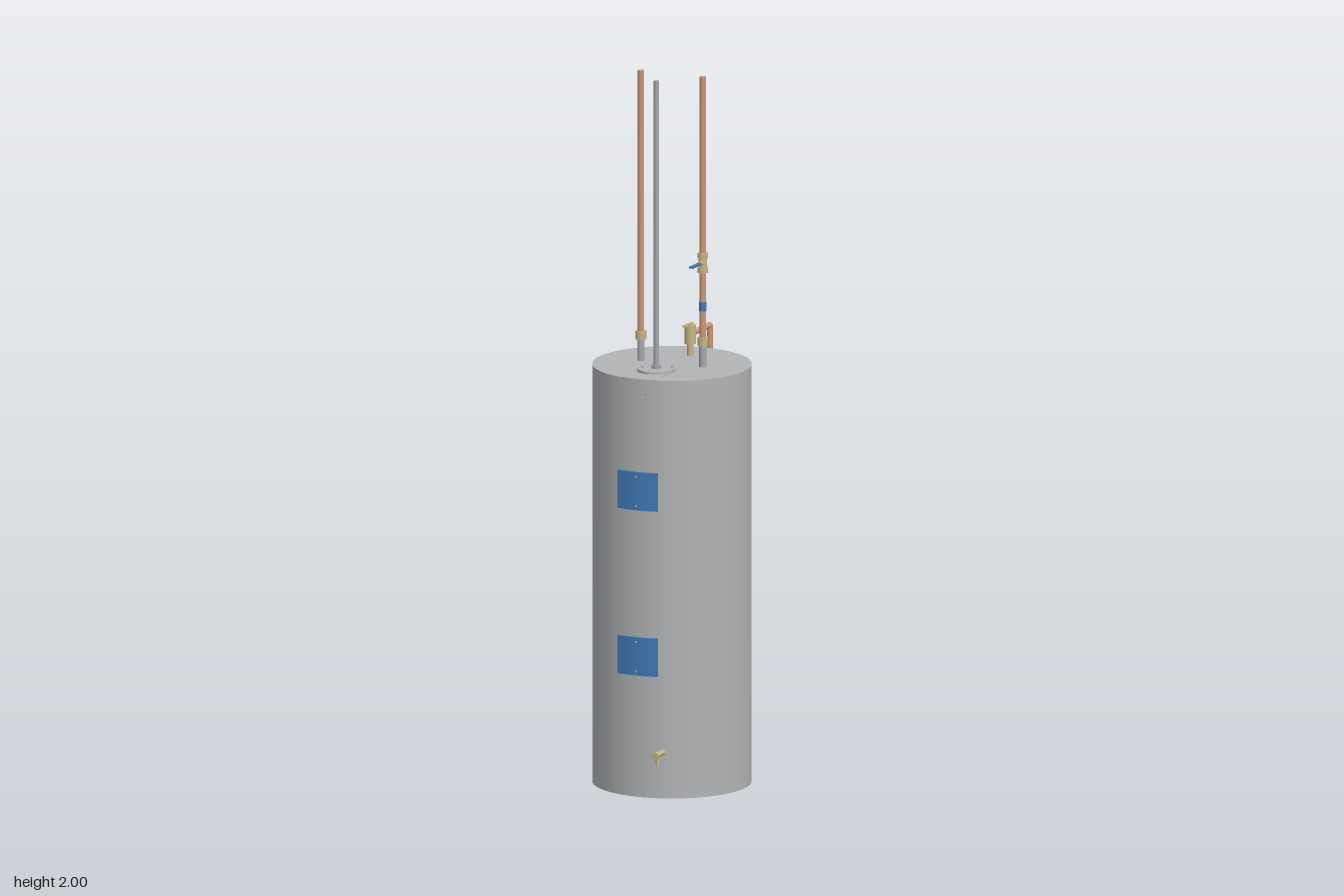
import * as THREE from 'three';

const mat = (name, color, side = THREE.FrontSide) => {
  const m = new THREE.MeshStandardMaterial({ color, side });
  m.name = name;
  return m;
};

export function createModel() {
  const model = new THREE.Group();
  model.name = 'waterHeater';
  const grey = mat('tankGrey', 0xb2b4b6);
  const steel = mat('steel', 0xa6a8ab);
  const copper = mat('copper', 0xcb9878);
  const brass = mat('brass', 0xc6b684);
  const blue = mat('blue', 0x417ab8);

  const TOP = 1.18, R = 0.22, CZ = -0.005;

  const add = (name, geometry, material, x = 0, y = 0, z = 0, parent = model) => {
    const mesh = new THREE.Mesh(geometry, material);
    mesh.name = name;
    mesh.position.set(x, y, z);
    parent.add(mesh);
    return mesh;
  };
  // Upright cylinder between two heights
  const post = (name, r, y0, y1, x, z, material, sides = 20) =>
    add(name, new THREE.CylinderGeometry(r, r, y1 - y0, sides), material, x, (y0 + y1) / 2, z);
  // Cylinder lying along z between two depths
  const rod = (name, r, z0, z1, x, y, material, sides = 16) => {
    const m = add(name, new THREE.CylinderGeometry(r, r, z1 - z0, sides), material, x, y, (z0 + z1) / 2);
    m.rotation.x = Math.PI / 2;
    return m;
  };
  // Curved plate hugging the tank front, between two radii and heights
  const curvedPlate = (name, r0, r1, halfWidth, y0, y1, material) => {
    const a = Math.asin(halfWidth / r1), q = Math.PI / 2;
    const s = new THREE.Shape();
    s.absarc(0, 0, r1, -q - a, -q + a, false);
    s.absarc(0, 0, r0, -q + a, -q - a, true);
    const g = new THREE.ExtrudeGeometry(s, { depth: y1 - y0, bevelEnabled: false, curveSegments: 10 });
    g.rotateX(-Math.PI / 2);
    return add(name, g, material, 0, y0, CZ);
  };

  // Tank
  add('tank', new THREE.CylinderGeometry(R, R, TOP, 48), grey, 0, TOP / 2, CZ);

  // Element access panels with screws
  for (const y of [0.345, 0.812]) {
    curvedPlate('accessPanel', R - 0.002, 0.23, 0.061, y, y + 0.107, blue);
    for (const dy of [0.012, 0.095]) rod('panelScrew', 0.003, 0.22, 0.2275, 0, y + dy, steel, 8);
  }

  // Wiring cover strip on the lid, folded down over the front rim
  const strip = new THREE.Shape();
  const a = Math.asin(0.05 / (R + 0.001));
  strip.moveTo(-0.05, -0.1);
  strip.absarc(0, 0, R + 0.001, -Math.PI / 2 - a, -Math.PI / 2 + a, false);
  strip.lineTo(0.05, -0.1);
  const stripGeo = new THREE.ExtrudeGeometry(strip, { depth: 0.0015, bevelEnabled: false });
  stripGeo.rotateX(-Math.PI / 2);
  add('wiringCover', stripGeo, grey, 0, TOP, CZ);
  curvedPlate('wiringCoverFlap', R - 0.002, R + 0.0015, 0.05, 1.13, TOP, grey);
  rod('coverScrew', 0.004, 0.205, 0.217, 0.024, 1.14, steel, 8);

  // Junction disc, its screws and the conduit
  post('junctionDisc', 0.053, TOP, 1.187, 0, 0.095, grey, 32);
  post('conduitNut', 0.013, 1.187, 1.196, 0, 0.095, steel, 6);
  post('conduit', 0.0075, 1.187, 2, 0, 0.095, steel);
  for (const [x, z] of [[-0.04, 0.101], [0.032, 0.062]])
    post('discScrew', 0.004, 1.187, 1.19, x, z, steel, 10);

  // Hot and cold water pipes
  for (const x of [-0.095, 0.094]) {
    post('pipeNipple', 0.01, TOP, 1.243, x, CZ, steel);
    post('pipeUnion', 0.015, 1.24, 1.264, x, CZ, brass);
    post('waterPipe', 0.009, 1.26, 2, x, CZ, copper);
  }
  post('pipeBand', 0.0105, 1.338, 1.364, 0.094, CZ, blue);

  // Shut-off valve on the cold pipe
  post('valveBody', 0.012, 1.447, 1.502, 0.094, CZ, brass);
  for (const y of [1.447, 1.488]) post('valveCollar', 0.015, y, y + 0.014, 0.094, CZ, brass);
  rod('valveStem', 0.007, CZ, 0.016, 0.094, 1.475, brass);
  add('valveLever', new THREE.BoxGeometry(0.012, 0.005, 0.058), blue, 0.094, 1.475, 0.041);

  // Relief valve with lever
  const RZ = -0.122;
  post('reliefNipple', 0.009, TOP, 1.217, 0, RZ, brass);
  post('reliefBody', 0.0165, 1.213, 1.266, 0, RZ, brass);
  add('reliefLever', new THREE.BoxGeometry(0.009, 0.005, 0.05), brass, 0, 1.2685, -0.108);

  // Discharge pipe running down the back
  rod('dischargeArm', 0.008, -0.247, RZ - 0.01, 0, 1.24, copper);
  add('dischargeElbow', new THREE.SphereGeometry(0.008, 16, 10), copper, 0, 1.24, -0.247);
  post('dischargePipe', 0.008, 0.123, 1.24, 0, -0.247, copper);

  // Drain valve
  rod('drainBody', 0.008, 0.19, 0.248, 0.071, 0.13, brass);
  rod('drainKnob', 0.011, 0.247, 0.255, 0.071, 0.13, brass);
  post('drainOutlet', 0.0065, 0.1, 0.13, 0.071, 0.234, brass, 16);

  return model;
}
